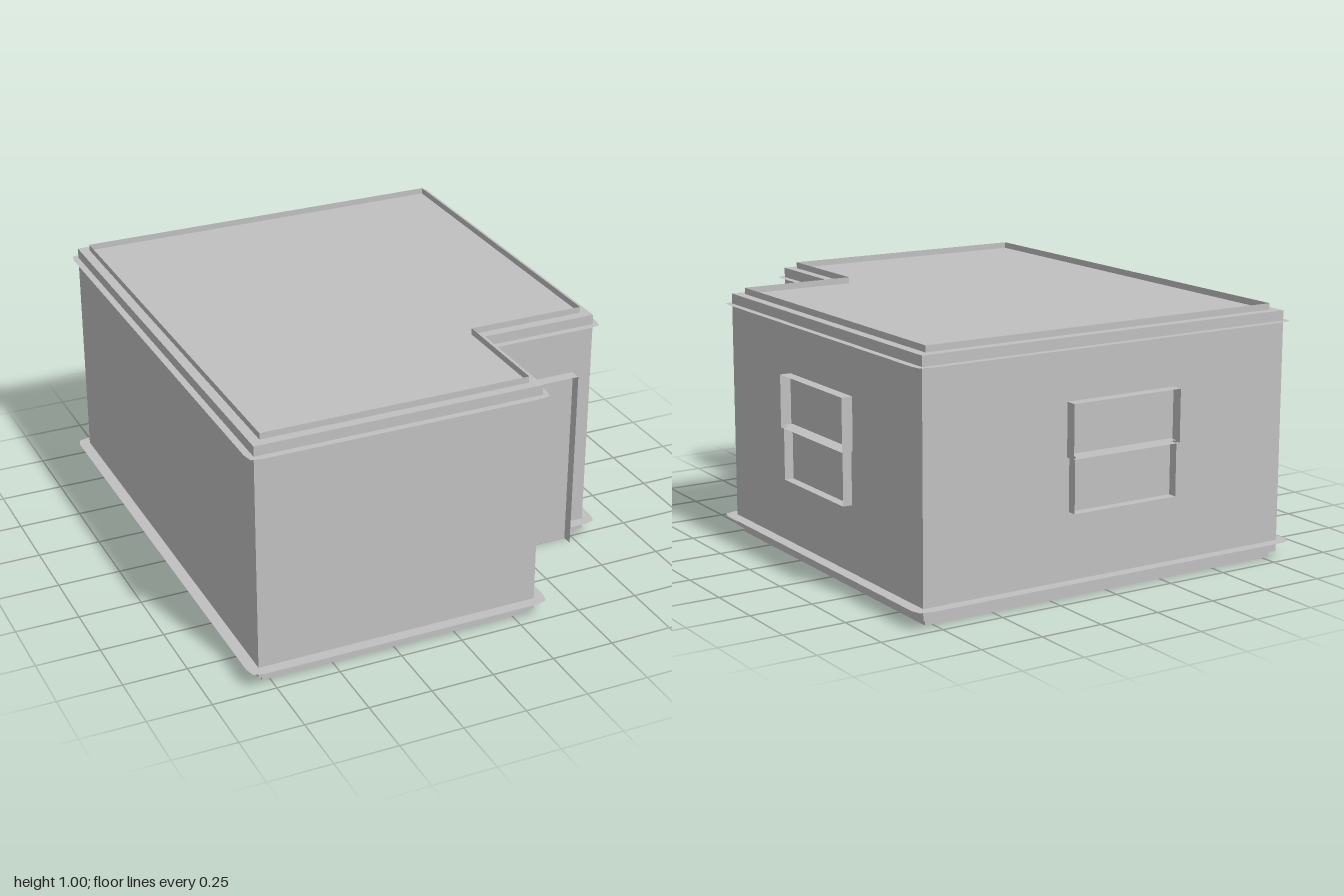
import * as THREE from 'three';

const wallGrey = new THREE.MeshStandardMaterial({ color: 0xc0c0c0, side: THREE.DoubleSide });
wallGrey.name = 'plaster grey';

// Wall corners in plan: x, z, outward signs. The path starts and ends at the door.
const CORNERS = [
  [0.72, 0.5, 0, 1], [0.8, 0.5, 1, 1], [0.8, -0.95, 1, -1], [-0.8, -0.95, -1, -1],
  [-0.8, 0.95, -1, 1], [0.33, 0.95, 1, 1], [0.33, 0.5, 1, 1], [0.4, 0.5, 0, 1],
];

// Plan outline pushed out by d at height y; bow eases the outer corners in a little
function outline(d, y, bow = 1) {
  const pts = [];
  CORNERS.forEach(([x, z, sx, sz], i) => {
    const at = (k) => new THREE.Vector3(x + sx * d * k, y, z + sz * d * k);
    if (i === 0 || i >= 6) { pts.push(at(1)); return; }
    const toward = (j) => new THREE.Vector3(CORNERS[j][0] - x, 0, CORNERS[j][1] - z)
      .normalize().multiplyScalar(0.05);
    pts.push(at(1).add(toward(i - 1)), at(bow), at(1).add(toward(i + 1)));
  });
  return pts;
}

// Flat-sided sheet strung between two matching paths
function ribbon(name, a, b, closed = true) {
  const pos = [];
  const n = a.length;
  for (let i = 0; i < (closed ? n : n - 1); i++) {
    const j = (i + 1) % n;
    for (const p of [a[i], a[j], b[j], a[i], b[j], b[i]]) pos.push(p.x, p.y, p.z);
  }
  const geo = new THREE.BufferGeometry();
  geo.setAttribute('position', new THREE.Float32BufferAttribute(pos, 3));
  geo.computeVertexNormals();
  const mesh = new THREE.Mesh(geo, wallGrey);
  mesh.name = name;
  return mesh;
}

// Rectangular surround standing out from a wall that faces +z
function surround(name, x0, x1, y0, y1, depth, closed) {
  const path = (z) => [[x0, y0], [x0, y1], [x1, y1], [x1, y0]]
    .map(([x, y]) => new THREE.Vector3(x, y, z));
  return ribbon(name, path(0), path(depth), closed);
}

// Two-sash window surround
function makeWindow(name) {
  const g = new THREE.Group();
  g.name = name;
  g.add(surround('upperSash', -0.238, 0.238, 0.535, 0.74, 0.044, true));
  g.add(surround('lowerSash', -0.228, 0.228, 0.33, 0.545, 0.037, true));
  return g;
}

export function createModel() {
  const house = new THREE.Group();
  house.name = 'house';

  // L-shaped body
  const plan = new THREE.Shape(CORNERS.slice(1, 7).map(([x, z]) => new THREE.Vector2(x, -z)));
  const bodyGeo = new THREE.ExtrudeGeometry(plan, { depth: 0.95, bevelEnabled: false });
  bodyGeo.rotateX(-Math.PI / 2).translate(0, 0.025, 0);
  const body = new THREE.Mesh(bodyGeo, wallGrey);
  body.name = 'walls';
  house.add(body);

  // Parapet and plinth lips
  house.add(ribbon('parapet', outline(-0.038, 0.975), outline(-0.038, 1)));
  house.add(ribbon('plinth', outline(-0.02, 0), outline(-0.02, 0.025)));

  // Cornice, and skirting that stops at the door
  house.add(ribbon('cornice', outline(0, 0.935), outline(0.027, 0.935, 0.7)));
  house.add(ribbon('skirting', outline(0, 0.07), outline(0.045, 0.07, 0.75), false));

  // Windows on the right and back walls
  const sideWindow = makeWindow('sideWindow');
  sideWindow.position.set(0.8, 0, -0.222);
  sideWindow.rotation.y = Math.PI / 2;
  const backWindow = makeWindow('backWindow');
  backWindow.position.set(-0.045, 0, -0.95);
  backWindow.rotation.y = Math.PI;
  house.add(sideWindow, backWindow);

  // Door panel and its surround
  const door = new THREE.Group();
  door.name = 'door';
  const panel = new THREE.Mesh(new THREE.BoxGeometry(0.32, 0.745, 0.006), wallGrey);
  panel.name = 'doorPanel';
  panel.position.set(0.56, 0.3725, 0.002);
  door.add(panel, surround('doorSurround', 0.4, 0.72, 0, 0.745, 0.047, false));
  door.position.z = 0.5;
  house.add(door);

  return house;
}
